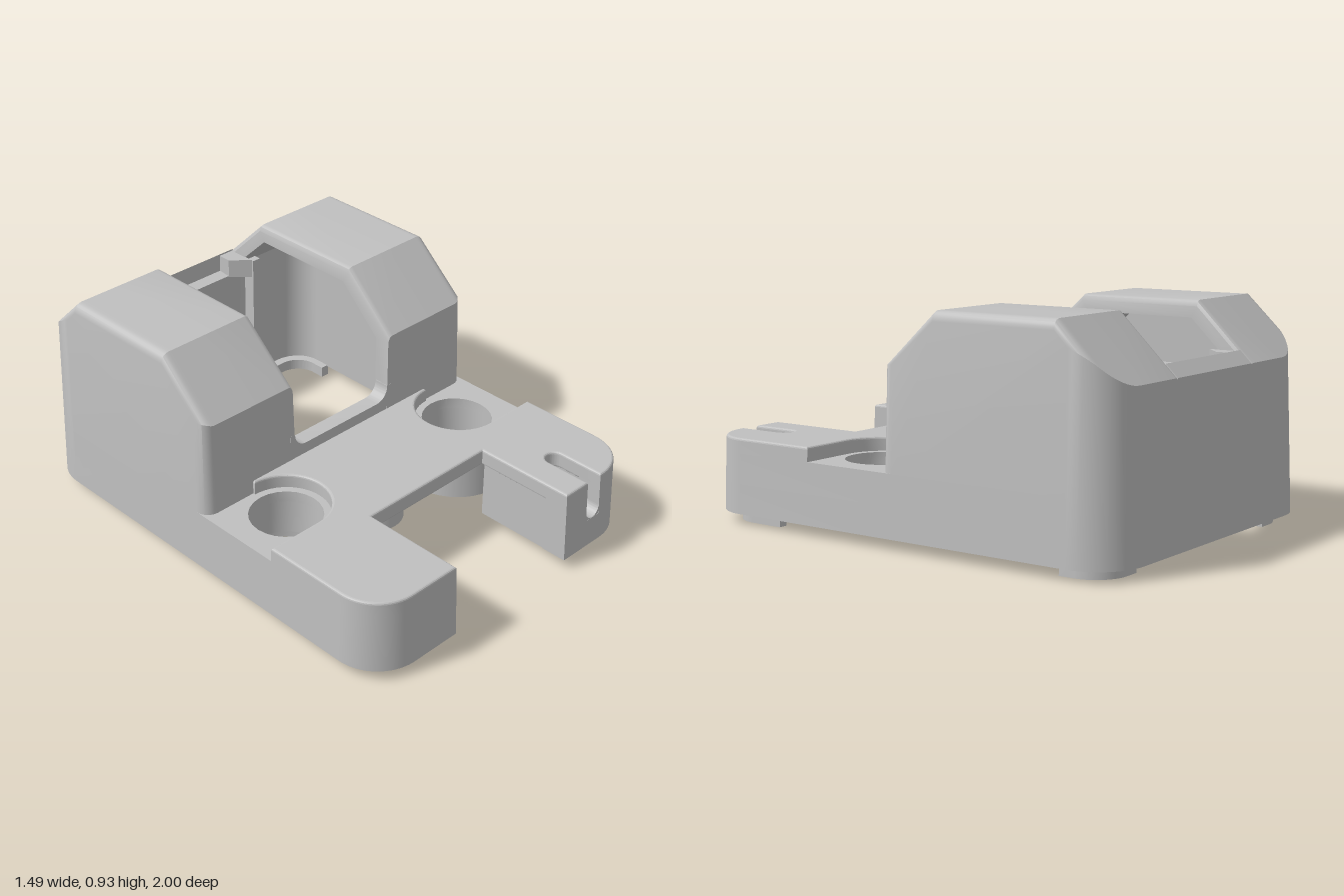
import * as THREE from 'three';
import { toCreasedNormals } from 'three/addons/utils/BufferGeometryUtils.js';

const PI = Math.PI;

export function createModel() {
  const model = new THREE.Group();
  const grey = new THREE.MeshStandardMaterial({ color: 0xc0c0c0, side: THREE.DoubleSide });
  grey.name = 'plain grey';

  // Draft: the outer walls lean in slightly with height, inner features stay upright
  const add = (name, geo, sx = 1, sz = 1, crease = 0.5) => {
    const p = geo.attributes.position;
    for (let i = 0; i < p.count; i++) {
      const x = p.getX(i), z = p.getZ(i), k = 0.04 * (p.getY(i) - 0.045);
      p.setX(i, x * (1 - k * Math.min(1, (x / 0.745) ** 4)));
      p.setZ(i, z * (1 - k * Math.min(1, z ** 4)));
    }
    const mesh = new THREE.Mesh(toCreasedNormals(geo, crease), grey);
    mesh.name = name;
    mesh.scale.set(sx, 1, sz);
    model.add(mesh);
  };

  // Extrude a floor-plan shape (x, z) between two heights
  const plan = (shape, y0, y1, bevel = 0) => {
    const g = new THREE.ExtrudeGeometry(shape, {
      depth: y1 - y0 - 2 * bevel, curveSegments: 12, bevelEnabled: bevel > 0,
      bevelSize: bevel, bevelThickness: bevel, bevelOffset: -bevel, bevelSegments: 3,
    });
    return g.rotateX(PI / 2).translate(0, y1 - bevel, 0);
  };
  const poly = (pts) => new THREE.Shape(pts.map((p) => new THREE.Vector2(p[0], p[1])));
  const box = (x0, x1, y0, y1, z0, z1) => new THREE.BoxGeometry(x1 - x0, y1 - y0, z1 - z0)
    .translate((x0 + x1) / 2, (y0 + y1) / 2, (z0 + z1) / 2);

  // Hump shell: side profile at one station, inset by the wall thickness t
  const profile = (x, t, angle) => {
    const r = 0.2 - t, edge = 0.745 - t;
    const round = (f, d) => (d < f ? f - Math.sqrt(Math.max(0, f * f - (f - d) ** 2)) : 0);
    const outer = t === 0;
    const drop = outer ? round(0.04, edge - x) + round(0.025, x - 0.27) : 0;
    const zf = 0.06 - t - (outer ? round(0.06, edge - x) : 0);
    const zb = -0.8 - r * Math.cos(angle);
    const s = t * 1.35, top = 0.925 - t;
    const front = (z) => 0.7 + 0.9 * (0.06 - z) - s;
    const back = (z) => 0.69 + 0.9 * (z + 1) - s;
    const lean = angle === 0 ? 0.02 : 0; // slot edge widens upwards
    return [
      [0.26, zf], [front(zf) - drop, zf - 0.006],
      [top - drop, 0.06 - (top + s - 0.7) / 0.9],
      [top - drop, -1 + (top + s - 0.69) / 0.9],
      [back(zb) - drop, zb], [0.045, zb],
    ].map(([y, z]) => [x + lean * (y - 0.7), y, z]);
  };
  const humpGeometry = () => {
    const stations = [0.27, 0.277, 0.285, 0.295].map((x) => [x, x, 0]);
    for (let i = 0; i <= 14; i++) {
      const a = (i / 14) * PI / 2;
      stations.push([0.545 + 0.2 * Math.sin(a), 0.545 + 0.13 * Math.sin(a), a]);
    }
    const pos = [], idx = [], n = 12, last = (stations.length - 1) * n;
    for (const [xo, xi, a] of stations) {
      pos.push(...profile(xo, 0, a).flat(), ...profile(xi, 0.07, a).reverse().flat());
    }
    for (let i = 0; i < stations.length - 1; i++) {
      for (let j = 0; j < n; j++) {
        const a = i * n + j, b = i * n + (j + 1) % n;
        idx.push(a, b, b + n, a, b + n, a + n);
      }
    }
    for (let j = 0; j < 5; j++) idx.push(j, 11 - j, 10 - j, j, 10 - j, j + 1); // slot rim
    for (let j = 1; j < 5; j++) {
      idx.push(last, last + j, last + j + 1); // outer side
      idx.push(last + 6, last + 6 + j, last + 7 + j); // inner side
    }
    const g = new THREE.BufferGeometry();
    g.setAttribute('position', new THREE.Float32BufferAttribute(pos, 3));
    g.setIndex(idx);
    g.computeVertexNormals();
    return g;
  };

  // Front lip of the slot, with rounded inner corners
  const lip = new THREE.Shape();
  lip.moveTo(-0.29, 0.26);
  lip.lineTo(0.29, 0.26);
  lip.lineTo(0.29, 0.47);
  lip.lineTo(0.263, 0.47);
  lip.absarc(0.203, 0.465, 0.06, 0, -PI / 2, true);
  lip.absarc(-0.203, 0.465, 0.06, -PI / 2, -PI, true);
  lip.lineTo(-0.29, 0.47);
  add('slotFrontLip', new THREE.ExtrudeGeometry(lip, { depth: 0.068, bevelEnabled: false })
    .translate(0, 0, -0.01));

  // Rear wall behind the slot, with its sill and a stepped bottom rim
  const rear = poly([[-1, 0.045], [-1, 0.69], [-0.945, 0.739], [-0.94, 0.66], [-0.878, 0.655],
    [-0.925, 0.1], [-0.94, 0.1], [-0.94, 0.045]]);
  add('slotRearWall', new THREE.ExtrudeGeometry(rear, { depth: 0.56, bevelEnabled: false })
    .rotateY(-PI / 2).translate(0.28, 0, 0));

  // Deck with front notch, side pockets and cable slit
  const deck = new THREE.Shape();
  deck.moveTo(0.32, 1);
  deck.lineTo(0.45, 1);
  deck.absarc(0.49, 0.79, 0.04, PI, 2 * PI, false);
  deck.lineTo(0.53, 1);
  deck.absarc(0.545, 0.8, 0.2, PI / 2, 0, true);
  deck.lineTo(0.745, 0.43);
  deck.absarc(0.495, 0.25, 0.18, PI / 2, 1.5 * PI, false);
  deck.lineTo(0.495, 0.02);
  deck.lineTo(-0.495, 0.02);
  deck.absarc(-0.495, 0.25, 0.18, -PI / 2, PI / 2, false);
  deck.lineTo(-0.745, 0.43);
  deck.absarc(-0.545, 0.8, 0.2, PI, PI / 2, true);
  deck.lineTo(-0.32, 1);
  deck.lineTo(-0.32, 0.548);
  deck.lineTo(0.32, 0.548);
  add('deck', plan(deck, 0.285, 0.357, 0.01), 1, 1, 0.2);

  // Base wall: one side plus its front corner, up to x0 from the middle
  const wall = (x0) => {
    const s = new THREE.Shape();
    s.moveTo(x0, 1);
    s.lineTo(0.545, 1);
    s.absarc(0.545, 0.8, 0.2, PI / 2, 0, true);
    s.lineTo(0.745, -0.8);
    s.lineTo(0.675, -0.8);
    s.absarc(0.555, 0.77, 0.12, 0, PI / 2, false);
    s.lineTo(x0, 0.89);
    return s;
  };
  add('rightWall', plan(wall(0.32), 0.045, 0.298), -1);
  add('leftWallLower', plan(wall(0.32), 0.045, 0.17));
  add('leftWallUpper', plan(wall(0.53), 0.17, 0.298));
  add('slitInnerWall', box(0.32, 0.45, 0.17, 0.298, 0.89, 1));
  add('notchSideWall', box(0.322, 0.36, 0.047, 0.29, 0.56, 0.9));
  const slitEnd = new THREE.Shape();
  slitEnd.moveTo(0.45, 0.165);
  slitEnd.lineTo(0.53, 0.165);
  slitEnd.lineTo(0.53, 0.21);
  slitEnd.absarc(0.49, 0.21, 0.04, 0, -PI, true);
  add('slitRoundedEnd', new THREE.ExtrudeGeometry(slitEnd, { depth: 0.11, bevelEnabled: false })
    .translate(0, 0, 0.889));

  const hump = humpGeometry();
  for (const s of [1, -1]) {
    const side = s > 0 ? 'left' : 'right';
    add(side + 'Hump', hump.clone(), s);

    // Chamfer in the rear corner of the slot
    add(side + 'SlotChamfer', plan(poly([[0.2, -0.875], [0.275, -0.8], [0.275, -0.94], [0.2, -0.94]]), 0.65, 0.735), s);

    // Pocket floor, rounded towards the middle, and round socket
    const floor = new THREE.Shape();
    floor.moveTo(0.7, 0.03);
    floor.lineTo(0.495, 0.03);
    floor.absarc(0.495, 0.25, 0.22, -PI / 2, -1.5 * PI, true);
    floor.lineTo(0.7, 0.47);
    floor.holes.push(new THREE.Path().absarc(0.495, 0.25, 0.15, 0, 2 * PI, true));
    add(side + 'PocketFloor', plan(floor, 0.25, 0.298), s);
    const ring = [[0.15, 0.297], [0.15, 0.1], [0.185, 0.1], [0.185, 0.047], [0.232, 0.047], [0.232, 0.29]];
    add(side + 'Socket', new THREE.LatheGeometry(ring.map((p) => new THREE.Vector2(...p)), 40)
      .translate(0.495, 0, 0.25), s);

    // Rib inside the hump
    add(side + 'RearRib', box(0.34, 0.38, 0.12, 0.68, -0.95, -0.87), s);
  }

  // Hollow centre post and small corner pin
  const post = [[0.05, 0.28], [0.05, 0.047], [0.122, 0.047], [0.122, 0.3]];
  add('centrePost', new THREE.LatheGeometry(post.map((p) => new THREE.Vector2(...p)), 32)
    .translate(0, 0, 0.25));
  add('cornerPin', new THREE.CylinderGeometry(0.025, 0.025, 0.25, 16).translate(-0.49, 0.17, 0.72));

  // Locating feet hugging the four corners
  const foot = (name, sx, sz, xa, zb) => {
    const s = new THREE.Shape();
    s.moveTo(xa, 0.93);
    s.lineTo(0.54, 0.93);
    s.absarc(0.54, 0.79, 0.14, PI / 2, 0, true);
    s.lineTo(0.68, zb);
    s.lineTo(0.64, zb);
    s.absarc(0.54, 0.79, 0.1, 0, PI / 2, false);
    s.lineTo(xa, 0.89);
    add(name, plan(s, 0, 0.05), sx, sz);
  };
  foot('frontLeftFoot', 1, 1, 0.37, 0.64);
  foot('frontRightFoot', -1, 1, 0.48, 0.73);
  foot('backLeftFoot', 1, -1, 0.48, 0.73);
  foot('backRightFoot', -1, -1, 0.48, 0.73);

  return model;
}
